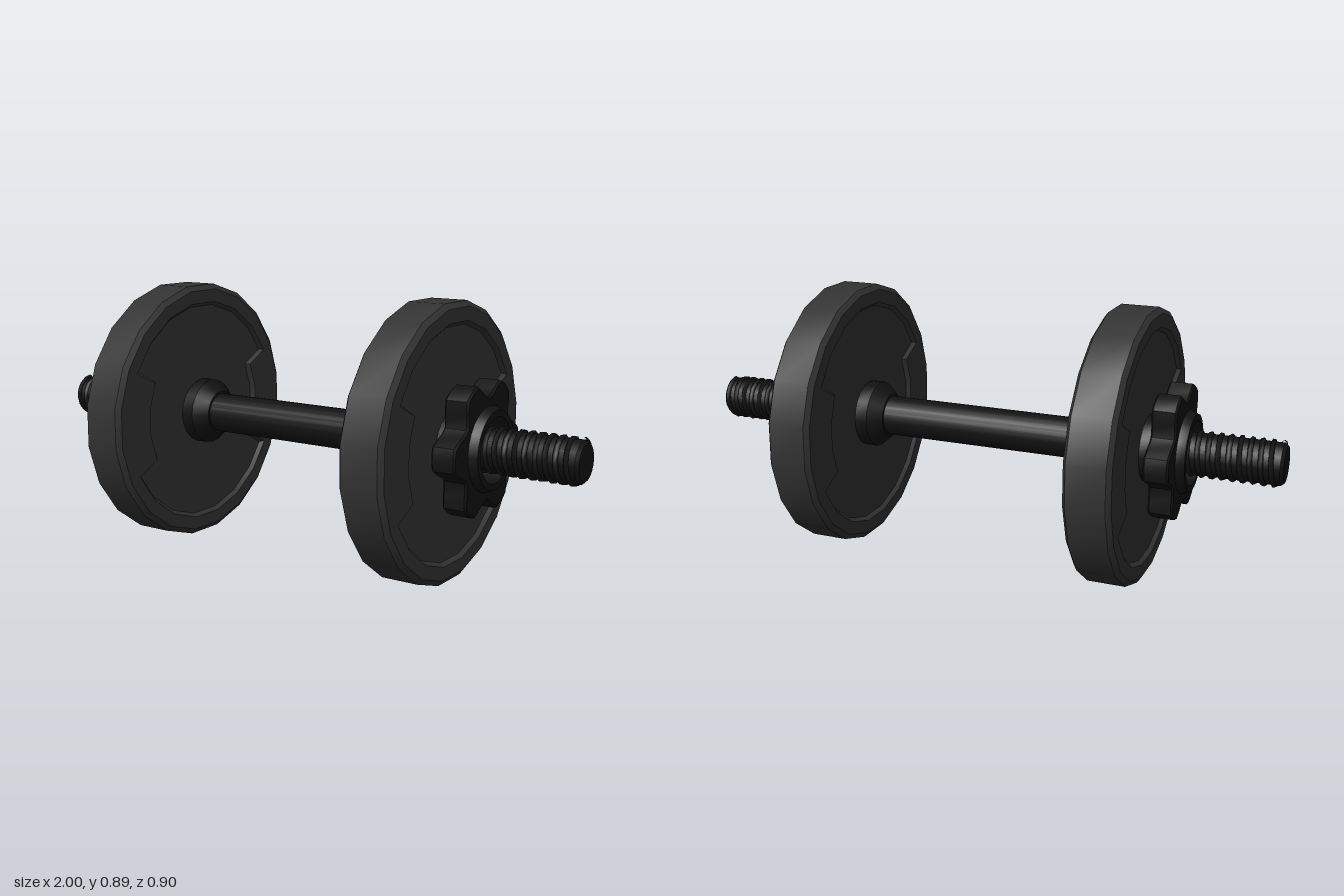
import * as THREE from 'three';
import { mergeVertices, toCreasedNormals } from 'three/addons/utils/BufferGeometryUtils.js';

const AXIS_Y = 0.4425;
const DEG = Math.PI / 180;
const plateMat = new THREE.MeshStandardMaterial({ color: 0x333333 });
const barMat = new THREE.MeshStandardMaterial({ color: 0x121212 });

function part(name, geometry, material) {
  const mesh = new THREE.Mesh(geometry, material);
  mesh.name = name;
  return mesh;
}

// Turned shape around the x axis from [radius, x] pairs with rising x
function turned(profile, sides = 20) {
  const g = new THREE.LatheGeometry(profile.map(([r, x]) => new THREE.Vector2(r, x)), sides);
  g.rotateZ(-Math.PI / 2);
  return toCreasedNormals(g, 0.5);
}

// 20-sided disc with a stepped recess in both faces
function plateGeometry() {
  // Each entry: rim angle, recess radius, recess floor angle
  const spokes = [];
  for (let half = 0; half < 2; half++) {
    const o = half * 180;
    for (const a of [-63, -45, -27, -9, 9, 27, 45, 63]) {
      const end = Math.abs(a) === 63;
      const floorA = end ? a - Math.sign(a) * 1.5 : a;
      if (a === -63) spokes.push([o + a, 0.295, o + floorA]);
      spokes.push([o + a, 0.392, o + floorA]);
      if (a === 63) spokes.push([o + a, 0.295, o + floorA]);
    }
    for (const a of [81, 99]) spokes.push([o + a, 0.295, o + a]);
  }
  const floor = 0.062, face = 0.075;
  const rings = [
    [-floor, () => 0], [-floor, (r) => r - 0.012, true], [-face, (r) => r],
    [-face, () => 0.437], [-0.062, () => 0.455],
    [0.062, () => 0.455], [face, () => 0.437],
    [face, (r) => r], [floor, (r) => r - 0.012, true], [floor, () => 0],
  ];
  const n = spokes.length, pos = [], index = [];
  for (const [x, radius, onFloor] of rings) {
    for (const [a, r, fa] of spokes) {
      const t = (onFloor ? fa : a) * DEG;
      pos.push(x, radius(r) * Math.cos(t) * 0.985, radius(r) * Math.sin(t));
    }
  }
  const same = (p, q) => [0, 1, 2].every((k) => Math.abs(pos[p * 3 + k] - pos[q * 3 + k]) < 1e-6);
  const tri = (p, q, s) => {
    if (!same(p, q) && !same(q, s) && !same(s, p)) index.push(p, q, s);
  };
  for (let j = 0; j < rings.length - 1; j++) {
    for (let i = 0; i < n; i++) {
      const a = j * n + i, b = j * n + (i + 1) % n;
      tri(a, b, a + n);
      tri(b, b + n, a + n);
    }
  }
  const g = new THREE.BufferGeometry();
  g.setAttribute('position', new THREE.Float32BufferAttribute(pos, 3));
  g.setIndex(index);
  return toCreasedNormals(mergeVertices(g), 0.45);
}

// Six-lobed grip ring of the locking nut
function starGeometry() {
  const lobe = [[-23, 0.172], [-17, 0.192], [-10, 0.217], [-4, 0.219],
    [4, 0.219], [10, 0.217], [17, 0.192], [23, 0.172], [30, 0.162]];
  const pts = [];
  for (let k = 0; k < 6; k++) {
    for (const [a, r] of lobe) {
      const t = (k * 60 + a) * DEG;
      pts.push(new THREE.Vector2(r * Math.cos(t), r * Math.sin(t)));
    }
  }
  const shape = new THREE.Shape(pts);
  shape.holes.push(new THREE.Path().absarc(0, 0, 0.11, 0, Math.PI * 2, true));
  const g = new THREE.ExtrudeGeometry(shape, {
    depth: 0.068, bevelEnabled: true, bevelSize: 0.006, bevelOffset: -0.006,
    bevelThickness: 0.006, bevelSegments: 1, curveSegments: 10,
  });
  g.rotateY(Math.PI / 2);
  g.translate(0.611, 0, 0);
  return toCreasedNormals(g, 0.6);
}

// Screw thread wound around the end of the bar
function threadGeometry() {
  const turns = 12, x0 = 0.60, x1 = 0.988, steps = turns * 16;
  const pts = [];
  for (let i = 0; i <= steps; i++) {
    const t = i / steps, a = t * turns * Math.PI * 2;
    pts.push(new THREE.Vector3(x0 + (x1 - x0) * t, 0.067 * Math.cos(a), 0.067 * Math.sin(a)));
  }
  return new THREE.TubeGeometry(new THREE.CatmullRomCurve3(pts), steps, 0.009, 5);
}

export function createModel() {
  const model = new THREE.Group();
  model.name = 'dumbbell';

  model.add(part('bar', turned([
    [0, -1], [0.058, -1], [0.067, -0.99], [0.067, 0.99], [0.058, 1], [0, 1],
  ]), barMat));

  const plate = plateGeometry();
  const star = starGeometry();
  const thread = threadGeometry();
  // Stop collar on the inner side of the plate
  const collar = turned([[0.066, 0.352], [0.075, 0.352], [0.112, 0.395], [0.112, 0.44]]);
  // Hollow sleeve of the nut, from the pad on the plate to its outer lip
  const sleeve = turned([
    [0.103, 0.56], [0.108, 0.56], [0.108, 0.595], [0.128, 0.605], [0.135, 0.615],
    [0.135, 0.69], [0.125, 0.712], [0.104, 0.712], [0.103, 0.56],
  ], 24);

  for (const [label, turn] of [['left', 0], ['right', Math.PI]]) {
    const side = new THREE.Group();
    side.name = label + 'End';
    const disc = part('weightPlate', plate, plateMat);
    disc.position.x = 0.5;
    side.add(
      disc,
      part('stopCollar', collar, barMat),
      part('nutSleeve', sleeve, barMat),
      part('nutGrip', star, barMat),
      part('screwThread', thread, barMat),
    );
    side.rotation.y = turn;
    model.add(side);
  }

  for (const child of model.children) child.position.y = AXIS_Y;
  return model;
}
